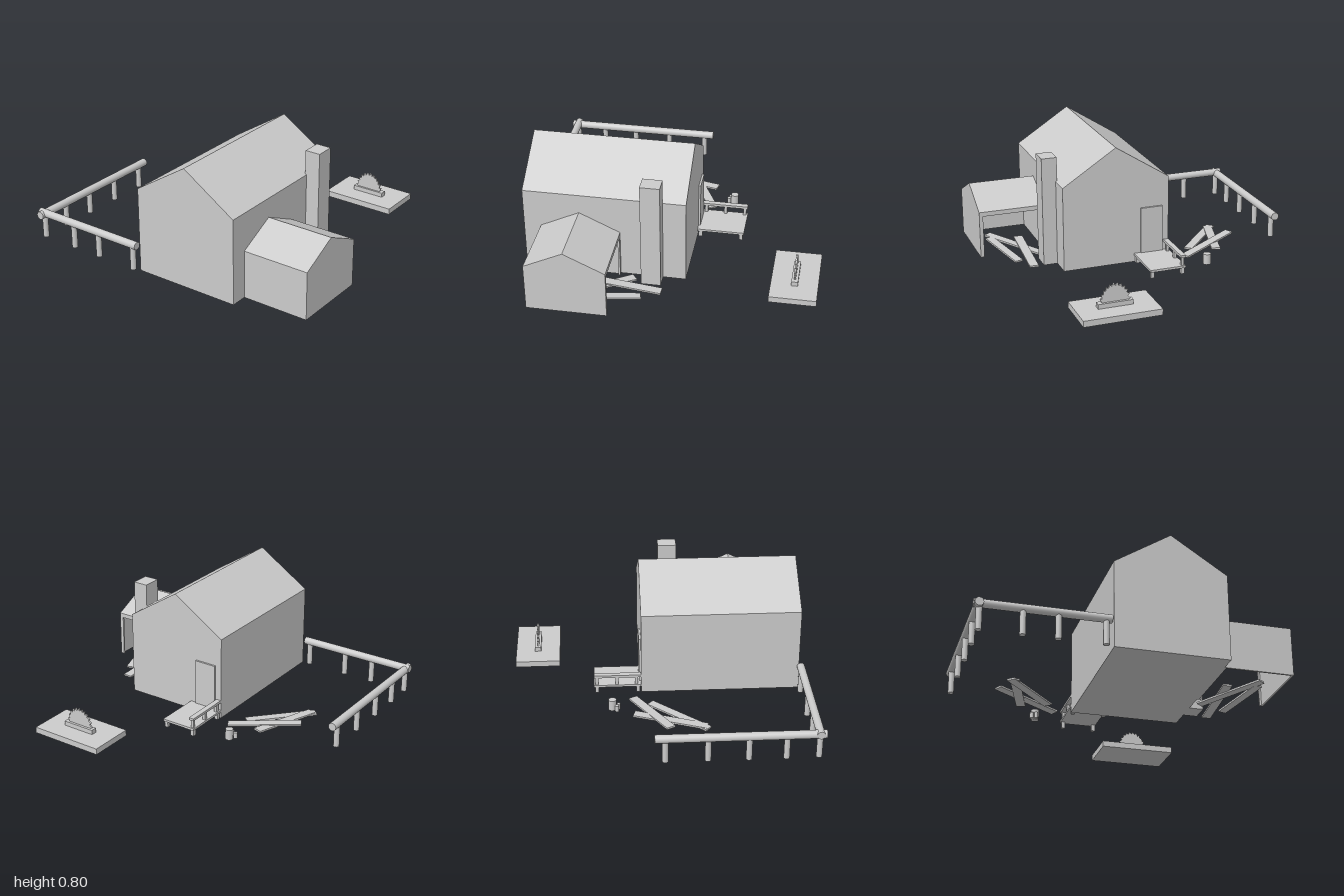
import * as THREE from 'three';

const mat = new THREE.MeshStandardMaterial({ color: 0xcccccc, flatShading: true, side: THREE.DoubleSide });
const smooth = new THREE.MeshStandardMaterial({ color: 0xcccccc });

export function createModel() {
  const root = new THREE.Group();

  const add = (name, geo, parent = root, material = mat) => {
    const m = new THREE.Mesh(geo, material);
    m.name = name;
    parent.add(m);
    return m;
  };
  const group = (name) => {
    const g = new THREE.Group();
    g.name = name;
    root.add(g);
    return g;
  };
  // box given by its min and max on each axis
  const box = (name, x0, x1, y0, y1, z0, z1, parent) => {
    const m = add(name, new THREE.BoxGeometry(x1 - x0, y1 - y0, z1 - z0), parent);
    m.position.set((x0 + x1) / 2, (y0 + y1) / 2, (z0 + z1) / 2);
    return m;
  };
  const extrude = (pts, depth) => new THREE.ExtrudeGeometry(
    new THREE.Shape(pts.map(([x, y]) => new THREE.Vector2(x, y))), { depth, bevelEnabled: false });
  // round bar between two points
  const bar = (name, a, b, r, parent) => {
    const p = new THREE.Vector3(...a), q = new THREE.Vector3(...b);
    const m = add(name, new THREE.CylinderGeometry(r, r, p.distanceTo(q), 16), parent, smooth);
    m.position.copy(p).add(q).multiplyScalar(0.5);
    m.quaternion.setFromUnitVectors(new THREE.Vector3(0, 1, 0), q.sub(p).normalize());
    return m;
  };
  // flat board between two end points
  const plank = (a, b, width, parent) => {
    const p = new THREE.Vector3(...a), q = new THREE.Vector3(...b);
    const m = add('plank', new THREE.BoxGeometry(width, 0.012, p.distanceTo(q)), parent);
    m.position.copy(p).add(q).multiplyScalar(0.5);
    m.lookAt(q);
  };

  // main house with gabled roof
  add('house', extrude([[-0.165, 0], [0.555, 0], [0.555, 0.565], [0.197, 0.797], [-0.165, 0.565]], 1.04))
    .position.z = -0.13;
  box('backDoor', -0.12, 0.03, 0.06, 0.37, -0.143, -0.13);
  box('chimney', 0.545, 0.647, 0, 0.727, 0.017, 0.143);

  // open-backed side shed: front wall and roof as one folded shell, plus end walls
  const shed = group('shed');
  const t = 0.012;
  const shell = add('shedShell', extrude([
    [-0.8, 0], [-0.8, 0.315], [-0.55, 0.437], [-0.29, 0.315],
    [-0.29, 0.3], [-0.55, 0.422], [-0.8 + t, 0.305], [-0.8 + t, 0]], 0.445), shed);
  shell.rotation.y = Math.PI / 2;
  shell.position.x = 0.555;
  for (const x of [0.555, 1 - t]) {
    const wall = add('shedEndWall', extrude(
      [[-0.8, 0], [-0.29, 0], [-0.29, 0.314], [-0.55, 0.435], [-0.8, 0.314]], t), shed);
    wall.rotation.y = Math.PI / 2;
    wall.position.x = x;
  }
  box('doorwayPost', 0.555, 0.58, 0, 0.31, 0.29, 0.302, shed);
  box('doorwayPost', 0.975, 1, 0, 0.31, 0.29, 0.302, shed);
  box('doorwayLintel', 0.555, 1, 0.285, 0.312, 0.29, 0.302, shed);

  // boards sliding out of the shed
  const shedBoards = group('shedBoards');
  plank([0.717, 0.008, 0], [0.7, 0.045, 0.46], 0.06, shedBoards);
  plank([0.785, 0.008, 0.12], [0.89, 0.045, 0.5], 0.055, shedBoards);
  plank([0.605, 0.012, 0.19], [0.89, 0.05, 0.56], 0.058, shedBoards);

  // back porch with a side railing
  const porch = group('porch');
  box('deck', -0.165, 0.075, 0.043, 0.058, -0.44, -0.13, porch);
  for (const x of [-0.148, 0.058]) for (const z of [-0.42, -0.15])
    box('porchLeg', x - 0.012, x + 0.012, 0, 0.045, z - 0.012, z + 0.012, porch);
  box('handrail', -0.165, -0.13, 0.113, 0.13, -0.44, -0.132, porch);
  for (const z of [-0.16, -0.29, -0.42])
    box('baluster', -0.157, -0.138, 0.055, 0.115, z - 0.01, z + 0.01, porch);

  // corner fence of round logs
  const fence = group('fence');
  bar('frontRail', [-1, 0.17, 0.92], [-0.18, 0.17, 0.92], 0.026, fence);
  bar('sideRail', [-0.97, 0.163, -0.085], [-0.97, 0.163, 0.96], 0.027, fence);
  for (const x of [-0.965, -0.71, -0.5, -0.215]) bar('frontPost', [x, 0, 0.92], [x, 0.16, 0.92], 0.019, fence);
  for (const z of [-0.02, 0.24, 0.49, 0.72]) bar('sidePost', [-0.97, 0, z], [-0.97, 0.155, z], 0.019, fence);

  // loose boards in the yard
  const yardBoards = group('yardBoards');
  plank([-0.645, 0.01, 0.275], [-0.33, 0.015, -0.08], 0.057, yardBoards);
  plank([-0.62, 0.012, 0.27], [-0.485, 0.035, -0.19], 0.06, yardBoards);
  plank([-0.68, 0.05, 0.035], [-0.26, 0.014, -0.19], 0.06, yardBoards);

  // chopping block with two small logs beside it
  const logs = group('logs');
  bar('choppingBlock', [-0.362, 0, -0.325], [-0.362, 0.07, -0.325], 0.026, logs);
  bar('smallLog', [-0.39, 0, -0.296], [-0.39, 0.04, -0.296], 0.013, logs);
  bar('smallLog', [-0.362, 0, -0.285], [-0.362, 0.04, -0.285], 0.012, logs);

  // saw table with a toothed half blade
  const saw = group('sawTable');
  box('slab', 0.2, 0.7, 0, 0.04, -0.97, -0.67, saw);
  box('bladeHolder', 0.34, 0.565, 0.04, 0.07, -0.842, -0.8, saw);
  const teeth = 12, blade = [];
  for (let i = 0; i <= teeth; i++) {
    const a = Math.PI * i / teeth;
    blade.push([0.085 * Math.cos(a), 0.1 * Math.sin(a)]);
    if (i < teeth) {
      const b = a + Math.PI / teeth * 0.8;
      blade.push([0.098 * Math.cos(b), 0.117 * Math.sin(b)]);
    }
  }
  add('sawBlade', extrude(blade, 0.012), saw).position.set(0.452, 0.069, -0.826);

  return root;
}
